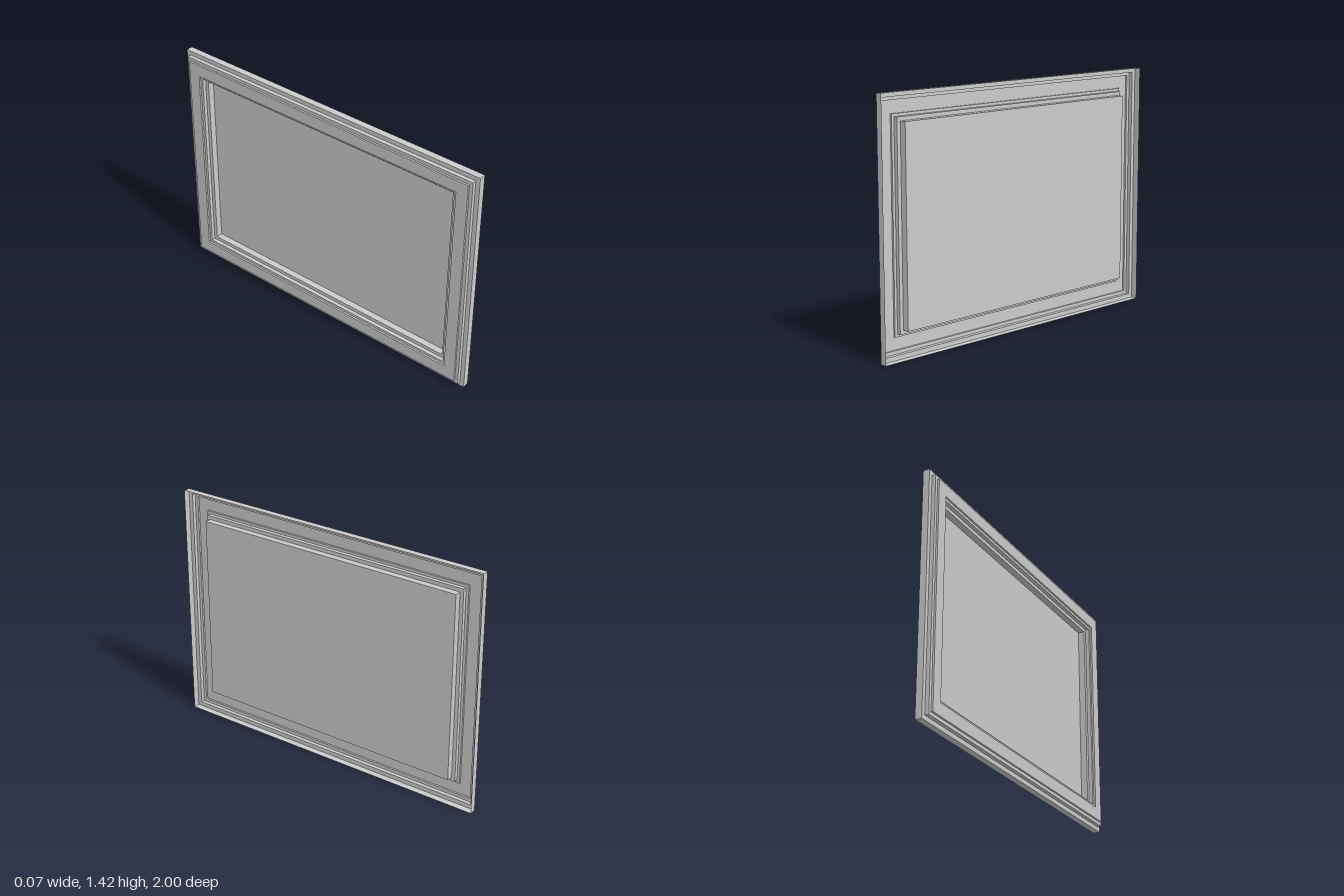
import * as THREE from 'three';

const LENGTH = 2, HEIGHT = 1.42;
const FRONT = 0.036, MID = -0.003, LOW = -0.026, BACK = -0.037;

const material = new THREE.MeshStandardMaterial({
  color: 0xcccccc, flatShading: true, side: THREE.DoubleSide,
});

// Rectangle of four corners, pulled in from the outer edge, at depth x
function loop([inset, x]) {
  const z = LENGTH / 2 - inset, y0 = inset, y1 = HEIGHT - inset;
  return [[x, y0, z], [x, y0, -z], [x, y1, -z], [x, y1, z]];
}

// Thin sheet joining successive rectangles, optionally closed by a flat panel
function sheet(name, profile, closed = false) {
  const pos = [];
  const quad = (a, b, c, d) => pos.push(...a, ...b, ...c, ...a, ...c, ...d);
  const loops = profile.map(loop);
  for (let k = 0; k < loops.length - 1; k++) {
    const a = loops[k], b = loops[k + 1];
    for (let i = 0; i < 4; i++) {
      const j = (i + 1) % 4;
      quad(a[i], a[j], b[j], b[i]);
    }
  }
  if (closed) quad(...loops[loops.length - 1]);
  const geometry = new THREE.BufferGeometry();
  geometry.setAttribute('position', new THREE.Float32BufferAttribute(pos, 3));
  geometry.computeVertexNormals();
  const mesh = new THREE.Mesh(geometry, material);
  mesh.name = name;
  return mesh;
}

export function createModel() {
  const group = new THREE.Group();
  group.name = 'framedPanel';
  group.add(
    // Outer skirt with its narrow ledge
    sheet('outerRim', [[0, FRONT], [0, MID], [0.026, MID]]),
    // Stepped trough running round the panel
    sheet('frameMoulding', [
      [0.026, MID], [0.026, LOW], [0.046, LOW], [0.046, BACK],
      [0.117, BACK], [0.117, LOW], [0.133, LOW], [0.133, MID], [0.155, MID],
    ]),
    // Centre panel standing on its own wall
    sheet('centrePanel', [[0.155, MID], [0.155, FRONT]], true),
  );
  return group;
}
